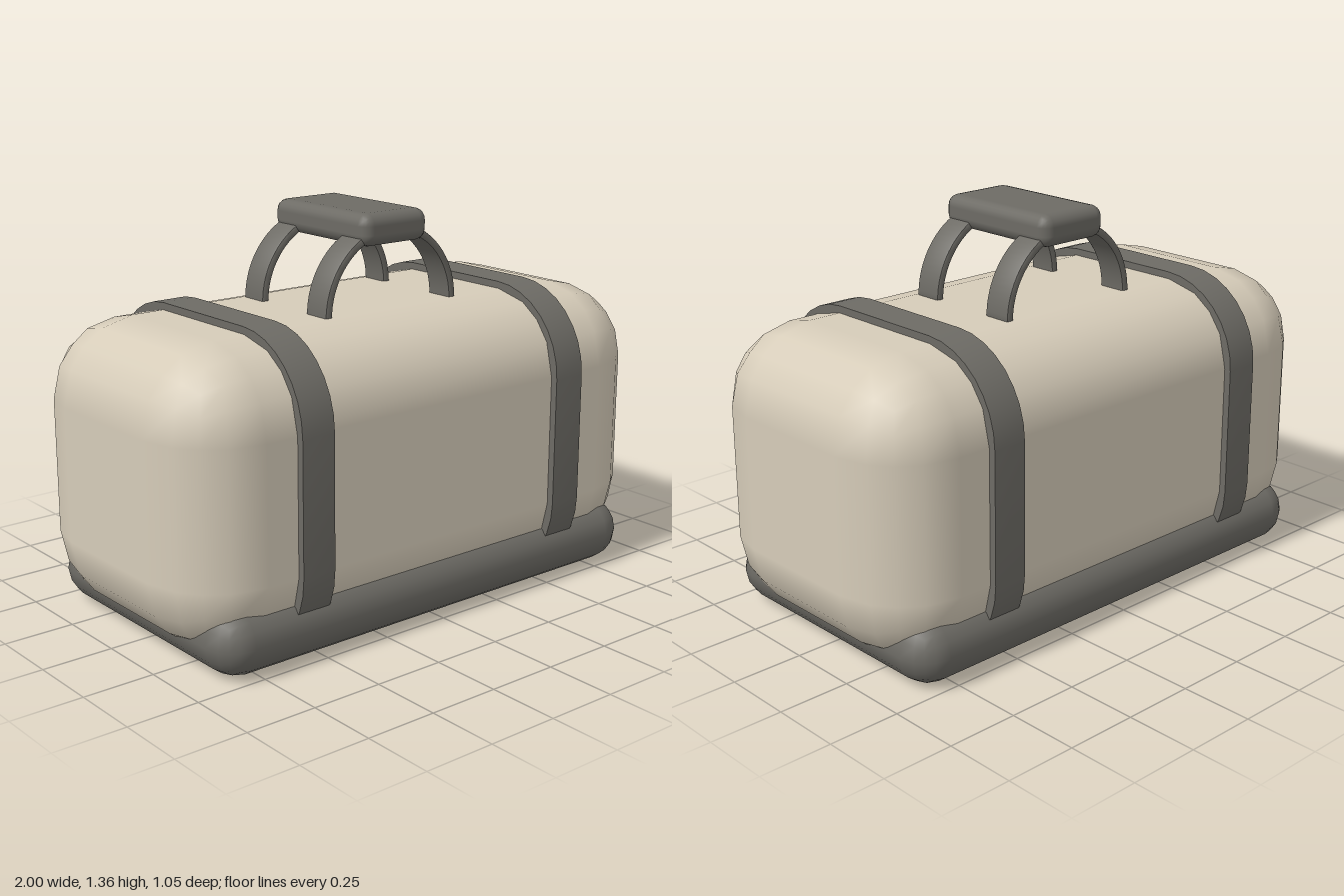
import * as THREE from 'three';
import { RoundedBoxGeometry } from 'three/addons/geometries/RoundedBoxGeometry.js';
import { toCreasedNormals } from 'three/addons/utils/BufferGeometryUtils.js';

const canvas = new THREE.MeshStandardMaterial({ name: 'beige canvas', color: 0xd6ccb9 });
const leather = new THREE.MeshStandardMaterial({ name: 'grey leather', color: 0x6d6b65 });

function add(parent, name, geometry, material, x = 0, y = 0, z = 0) {
  const mesh = new THREE.Mesh(geometry, material);
  mesh.name = name;
  mesh.position.set(x, y, z);
  parent.add(mesh);
  return mesh;
}

// Rounded rectangle centred on the origin
function roundedRect(w, h, r) {
  const a = w / 2 - r, b = h / 2 - r;
  const s = new THREE.Shape();
  s.absarc(a, b, r, 0, Math.PI / 2);
  s.absarc(-a, b, r, Math.PI / 2, Math.PI);
  s.absarc(-a, -b, r, Math.PI, Math.PI * 1.5);
  s.absarc(a, -b, r, Math.PI * 1.5, Math.PI * 2);
  s.closePath();
  return s;
}

export function createModel() {
  const bag = new THREE.Group();
  bag.name = 'duffelBag';

  // Soft body and the padded base it sits in
  add(bag, 'body', new RoundedBoxGeometry(2, 1, 1, 2, 0.27), canvas, 0, 0.53, 0);
  add(bag, 'base', new RoundedBoxGeometry(1.81, 0.23, 1.03, 2, 0.114), leather, 0, 0.115, 0);

  // Straps wrapped around the body
  const strapWidth = 0.125;
  const strapGeo = toCreasedNormals(new THREE.ExtrudeGeometry(roundedRect(1.05, 1.05, 0.3), {
    depth: strapWidth, bevelEnabled: false, curveSegments: 4,
  }).translate(0, 0, -strapWidth / 2).rotateY(Math.PI / 2), 0.6);
  for (const side of [-1, 1]) {
    add(bag, side > 0 ? 'leftStrap' : 'rightStrap', strapGeo, leather, side * 0.552, 0.53, 0);
  }

  // Two flat handle arches, running slightly into the body
  const bevel = 0.008;
  const arch = new THREE.Shape();
  const outer = 0.285 - bevel, inner = 0.256 + bevel;
  arch.moveTo(outer, -0.03);
  arch.absarc(0, 0, outer, 0, Math.PI, false);
  arch.lineTo(-outer, -0.03);
  arch.lineTo(-inner, -0.03);
  arch.absarc(0, 0, inner, Math.PI, 0, true);
  arch.lineTo(inner, -0.03);
  arch.closePath();
  const archGeo = toCreasedNormals(new THREE.ExtrudeGeometry(arch, {
    depth: 0.105 - 2 * bevel, curveSegments: 20,
    bevelThickness: bevel, bevelSize: bevel, bevelSegments: 2,
  }).translate(0, 0, -0.0525 + bevel), 0.7);
  for (const side of [-1, 1]) {
    add(bag, side > 0 ? 'frontHandle' : 'backHandle', archGeo, leather, 0, 1.025, side * 0.173);
  }

  // Grip joining the handles
  add(bag, 'grip', new RoundedBoxGeometry(0.28, 0.11, 0.5, 2, 0.04), leather, 0, 1.3, 0);

  return bag;
}
